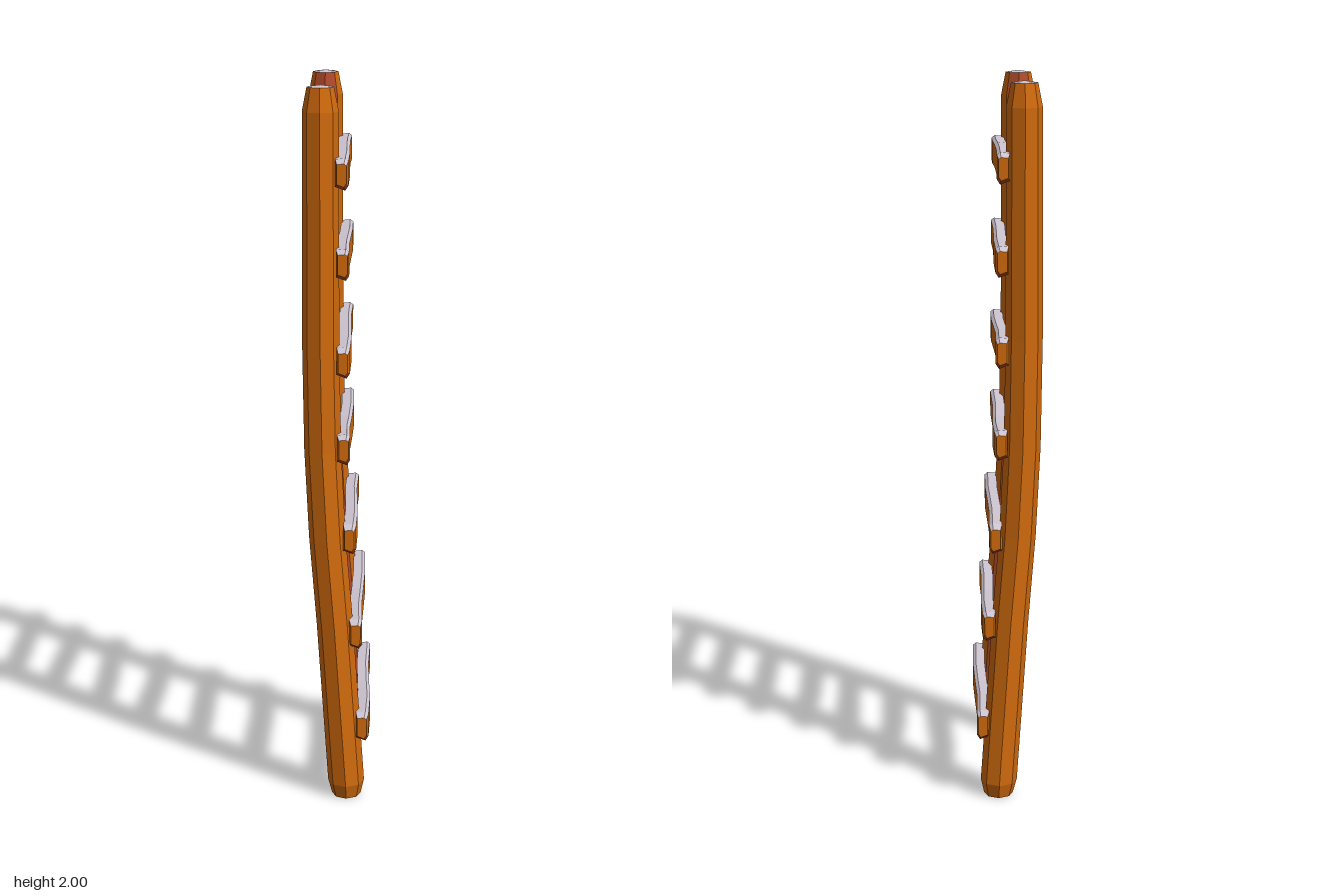
import * as THREE from 'three';

const flat = (name, color) => {
  const m = new THREE.MeshStandardMaterial({ color, flatShading: true });
  m.name = name;
  return m;
};

// Skins closed rings into a faceted solid; sides[k], start and end are material indices
function loft(rings, sides, start, end, endLift = 0) {
  const buckets = [[], [], []];
  const tri = (m, ...pts) => pts.forEach((p) => buckets[m].push(p.x, p.y, p.z));
  const n = sides.length;
  for (let i = 0; i < rings.length - 1; i++) {
    for (let k = 0; k < n; k++) {
      const a = rings[i][k], b = rings[i][(k + 1) % n];
      const c = rings[i + 1][(k + 1) % n], d = rings[i + 1][k];
      tri(sides[k], a, d, c);
      tri(sides[k], a, c, b);
    }
  }
  const middle = (ring) => ring.reduce((s, p) => s.add(p), new THREE.Vector3()).divideScalar(n);
  const first = rings[0], last = rings[rings.length - 1];
  const m0 = middle(first), m1 = middle(last);
  m1.y += endLift;
  for (let k = 0; k < n; k++) {
    tri(start, m0, first[k], first[(k + 1) % n]);
    tri(end, m1, last[(k + 1) % n], last[k]);
  }
  const geo = new THREE.BufferGeometry();
  geo.setAttribute('position', new THREE.Float32BufferAttribute(buckets.flat(), 3));
  let at = 0;
  buckets.forEach((b, m) => {
    geo.addGroup(at, b.length / 3, m);
    at += b.length / 3;
  });
  geo.computeVertexNormals();
  return geo;
}

// Post stations: height, x centre, distance from the middle, size
const POST = [
  [0, 0.03, 0.283, 0.8],
  [0.04, 0.029, 0.283, 1],
  [0.5, -0.003, 0.268, 1],
  [0.75, -0.024, 0.259, 1],
  [1.0, -0.037, 0.252, 1],
  [1.3, -0.042, 0.248, 1],
  [1.93, -0.042, 0.247, 0.97],
  [1.995, -0.042, 0.247, 0.72],
];

function postGeometry(side) {
  const rings = POST.map(([y, x, z, s]) => Array.from({ length: 8 }, (_, k) => {
    const a = k * Math.PI / 4;
    return new THREE.Vector3(x + 0.051 * s * Math.cos(a), y, side * z + 0.061 * s * Math.sin(a));
  }));
  // the two faces turned to the other post are red
  const inner = side > 0 ? [5, 6] : [1, 2];
  const sides = Array.from({ length: 8 }, (_, k) => (inner.includes(k) ? 1 : 0));
  return loft(rings, sides, 0, 2, 0.005);
}

// Rung section in x and y, counter-clockwise from the lower back edge
const SECTION = [[-0.018, -0.034], [0.009, -0.044], [0.018, -0.03],
  [0.018, 0.036], [0.009, 0.043], [-0.018, 0.04]];

// Rungs: height, x centre, +z end, -z end, y bend at [+z end, middle, -z end], x bend
const RUNGS = [
  [0.205, 0.074, 0.334, -0.322, [0.008, -0.01, 0.004], 0.004],
  [0.485, 0.056, 0.318, -0.328, [-0.005, -0.006, 0.016], -0.003],
  [0.75, 0.038, 0.314, -0.315, [0.005, 0.002, -0.003], 0.003],
  [1.005, 0.022, 0.314, -0.312, [0.006, -0.01, 0.007], -0.003],
  [1.26, 0.02, 0.31, -0.318, [-0.008, 0, 0.01], 0.003],
  [1.52, 0.019, 0.318, -0.31, [0.004, 0, -0.002], -0.002],
  [1.77, 0.016, 0.31, -0.312, [-0.004, 0.004, 0], 0.002],
];

function rungGeometry([y, x, z0, z1, bend, bow]) {
  const stations = [[0, 0.72], [0.035, 1], [0.28, 0.97], [0.5, 0.95], [0.72, 0.97], [0.965, 1], [1, 0.72]];
  const rings = stations.map(([t, s]) => {
    const dy = t < 0.5 ? THREE.MathUtils.lerp(bend[0], bend[1], t * 2)
      : THREE.MathUtils.lerp(bend[1], bend[2], t * 2 - 1);
    const dx = bow * Math.sin(t * Math.PI * 2);
    return SECTION.map(([px, py]) => new THREE.Vector3(
      x + dx + px * s, y + dy + py * s, THREE.MathUtils.lerp(z0, z1, t)));
  });
  return loft(rings, [1, 1, 0, 2, 2, 0], 0, 0);
}

export function createModel() {
  const group = new THREE.Group();
  group.name = 'ladder';
  const materials = [
    flat('orangeWood', 0xd06a0d),
    flat('redWood', 0xb04a2a),
    flat('paleTop', 0xcdc4d0),
  ];
  const add = (name, geo) => {
    const mesh = new THREE.Mesh(geo, materials);
    mesh.name = name;
    group.add(mesh);
  };

  // Two bent octagonal posts
  add('frontPost', postGeometry(1));
  add('backPost', postGeometry(-1));

  // Seven crooked rungs fixed to the outside of the posts
  RUNGS.forEach((r, i) => add(`rung${i + 1}`, rungGeometry(r)));
  return group;
}
